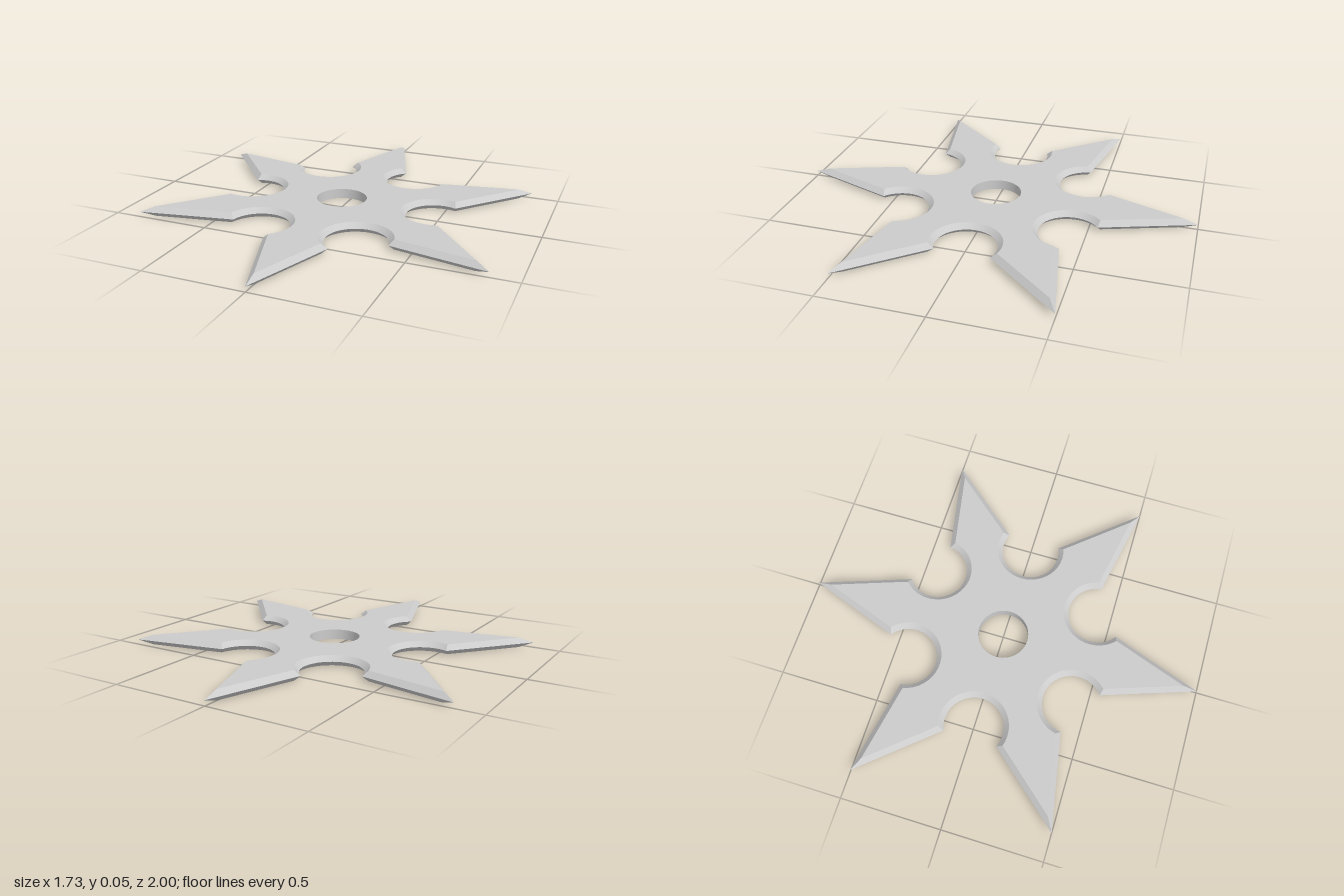
import * as THREE from 'three';
import { toCreasedNormals } from 'three/addons/utils/BufferGeometryUtils.js';

const ARMS = 6, THICK = 0.05, BEVEL = 0.025, HOLE = 0.126;
const NOTCH_DIST = 0.492, NOTCH_R = 0.147, ARC_STEPS = 24;

// Star outline, pulled inwards by the given inset: tip, then round notch, per arm
function outline(inset) {
  const dir = new THREE.Vector2(-0.455, 0.16).normalize(); // blade edge, from the tip
  const tip = new THREE.Vector2(1 - inset / dir.y, 0);
  const step = (Math.PI * 2) / ARMS, mid = step / 2;
  const centre = new THREE.Vector2(Math.cos(mid), Math.sin(mid)).multiplyScalar(NOTCH_DIST);
  const r = NOTCH_R + inset;

  // Barb corner: where the blade edge first meets the notch circle
  const rel = tip.clone().sub(centre);
  const b = rel.dot(dir);
  const t = -b - Math.sqrt(b * b - rel.lengthSq() + r * r);
  const barb = rel.addScaledVector(dir, t);
  const inward = mid - Math.PI;
  const half = Math.atan2(barb.y, barb.x) - inward;

  const points = [];
  const origin = new THREE.Vector2();
  for (let k = 0; k < ARMS; k++) {
    const turn = Math.PI / 2 + k * step;
    points.push(tip.clone().rotateAround(origin, turn));
    for (let i = 0; i <= ARC_STEPS; i++) {
      const a = inward + half * (1 - (2 * i) / ARC_STEPS);
      const p = new THREE.Vector2(centre.x + r * Math.cos(a), centre.y + r * Math.sin(a));
      points.push(p.rotateAround(origin, turn));
    }
  }
  return points;
}

// Closed band between two matching outlines at two heights
function band(lower, y0, upper, y1) {
  const pos = [], n = lower.length;
  for (let i = 0; i < n; i++) {
    const j = (i + 1) % n;
    const a = [lower[i].x, y0, -lower[i].y], b = [lower[j].x, y0, -lower[j].y];
    const c = [upper[j].x, y1, -upper[j].y], d = [upper[i].x, y1, -upper[i].y];
    pos.push(...a, ...b, ...c, ...a, ...c, ...d);
  }
  const geo = new THREE.BufferGeometry();
  geo.setAttribute('position', new THREE.Float32BufferAttribute(pos, 3));
  return toCreasedNormals(geo, 0.4);
}

export function createModel() {
  const group = new THREE.Group();
  group.name = 'throwingStar';
  const material = new THREE.MeshStandardMaterial({ color: 0xcccccc });
  const add = (name, geo, y = 0) => {
    const mesh = new THREE.Mesh(geo, material);
    mesh.name = name;
    mesh.position.y = y;
    group.add(mesh);
  };

  const edge = outline(0), face = outline(BEVEL);

  // Flat faces with the centre hole
  const shape = new THREE.Shape(face);
  const ring = [];
  for (let i = 0; i < 48; i++) {
    const a = (i / 48) * Math.PI * 2;
    ring.push(new THREE.Vector2(HOLE * Math.cos(a), HOLE * Math.sin(a)));
  }
  shape.holes.push(new THREE.Path(ring.slice().reverse()));
  add('topFace', new THREE.ShapeGeometry(shape).rotateX(-Math.PI / 2), THICK);
  add('bottomFace', new THREE.ShapeGeometry(shape).rotateX(Math.PI / 2));

  // Sharpened bevels meeting at mid height
  add('lowerBevel', band(face, 0, edge, THICK / 2));
  add('upperBevel', band(edge, THICK / 2, face, THICK));

  // Wall of the centre hole, facing inwards
  add('centreHoleWall', band(ring.slice().reverse(), 0, ring.slice().reverse(), THICK));

  return group;
}
